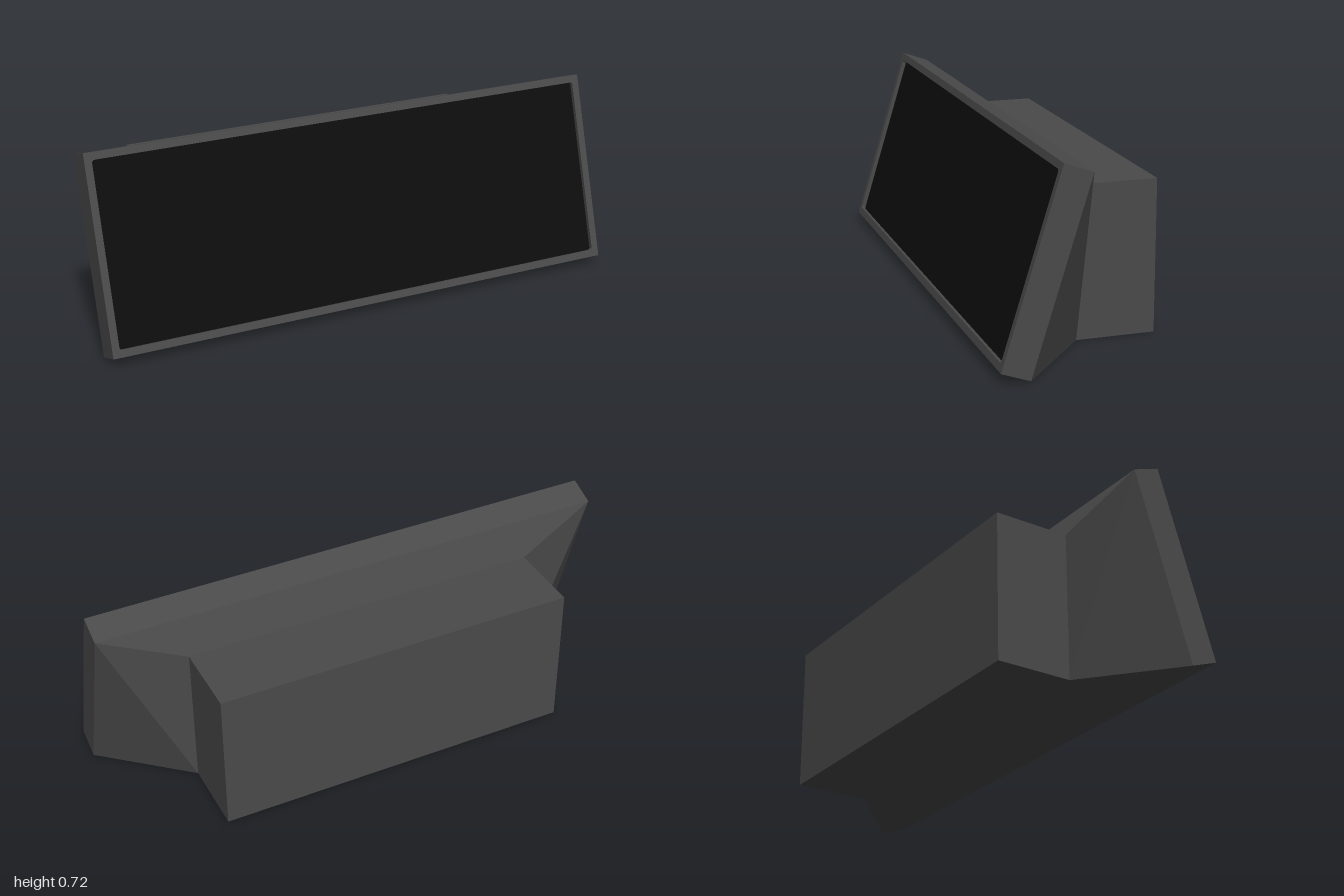
import * as THREE from 'three';

const casing = new THREE.MeshStandardMaterial({ color: 0x4a4a4a });
casing.name = 'charcoal casing';
const glass = new THREE.MeshStandardMaterial({ color: 0x0d0d0d });
glass.name = 'black screen';

const W = 2, H = 0.711, D = 0.108; // slab size in its own tilted frame
const RIM = 0.027, RECESS = 0.016;

// Tilted frame: local y runs up the slope, local z comes out of the face
const tilt = new THREE.Matrix4().makeBasis(
  new THREE.Vector3(1, 0, 0),
  new THREE.Vector3(0, 0.68, -0.208).divideScalar(H),
  new THREE.Vector3(0, 0.0365, 0.102).divideScalar(D)
).setPosition(0, 0, 0.228);

function mesh(name, geometry, material) {
  const m = new THREE.Mesh(geometry, material);
  m.name = name;
  return m;
}

// Rectangle inset from the slab outline, with small rounded corners
function insetRect(path, inset, r) {
  const x = W / 2 - inset, y0 = inset, y1 = H - inset;
  path.moveTo(-x + r, y0);
  path.lineTo(x - r, y0);
  path.quadraticCurveTo(x, y0, x, y0 + r);
  path.lineTo(x, y1 - r);
  path.quadraticCurveTo(x, y1, x - r, y1);
  path.lineTo(-x + r, y1);
  path.quadraticCurveTo(-x, y1, -x, y1 - r);
  path.lineTo(-x, y0 + r);
  path.quadraticCurveTo(-x, y0, -x + r, y0);
  return path;
}

// Tapered housing between the slab's back and the rear box
function taperGeometry() {
  const pos = [];
  const corner = (s, top, rear) => rear
    ? [s * 0.685, top ? 0.554 : 0, -0.042]
    : [s, top ? 0.68 : 0, top ? 0.02 : 0.228];
  const tri = (a, b, c) => pos.push(...a, ...b, ...c);
  for (const s of [1, -1]) {
    const ft = corner(s, 1, 0), fb = corner(s, 0, 0), rt = corner(s, 1, 1), rb = corner(s, 0, 1);
    if (s > 0) { tri(fb, rb, ft); tri(ft, rb, rt); }
    else { tri(fb, ft, rb); tri(ft, rt, rb); }
  }
  for (const top of [1, 0]) {
    const fl = corner(-1, top, 0), fr = corner(1, top, 0), rl = corner(-1, top, 1), rr = corner(1, top, 1);
    if (top) { tri(fl, fr, rr); tri(fl, rr, rl); }
    else { tri(fl, rr, fr); tri(fl, rl, rr); }
  }
  const g = new THREE.BufferGeometry();
  g.setAttribute('position', new THREE.Float32BufferAttribute(pos, 3));
  g.computeVertexNormals();
  return g;
}

export function createModel() {
  const model = new THREE.Group();
  model.name = 'display';

  // Solid back of the slab
  const slab = new THREE.BoxGeometry(W, H, D - RECESS)
    .translate(0, H / 2, (D - RECESS) / 2).applyMatrix4(tilt);
  model.add(mesh('slab', slab, casing));

  // Raised rim around the screen
  const outline = insetRect(new THREE.Shape(), 0, 0);
  outline.holes.push(insetRect(new THREE.Path(), RIM, 0.012));
  const rim = new THREE.ExtrudeGeometry(outline, { depth: RECESS, bevelEnabled: false, curveSegments: 4 })
    .translate(0, 0, D - RECESS).applyMatrix4(tilt);
  model.add(mesh('rim', rim, casing));

  // Recessed screen
  const screen = new THREE.ShapeGeometry(insetRect(new THREE.Shape(), RIM, 0.012), 4)
    .translate(0, 0, D - RECESS + 0.001).applyMatrix4(tilt);
  model.add(mesh('screen', screen, glass));

  // Housing behind the slab
  model.add(mesh('taper', taperGeometry(), casing));
  const box = new THREE.BoxGeometry(1.37, 0.554, 0.288).translate(0, 0.277, -0.186);
  model.add(mesh('rearBox', box, casing));

  return model;
}
